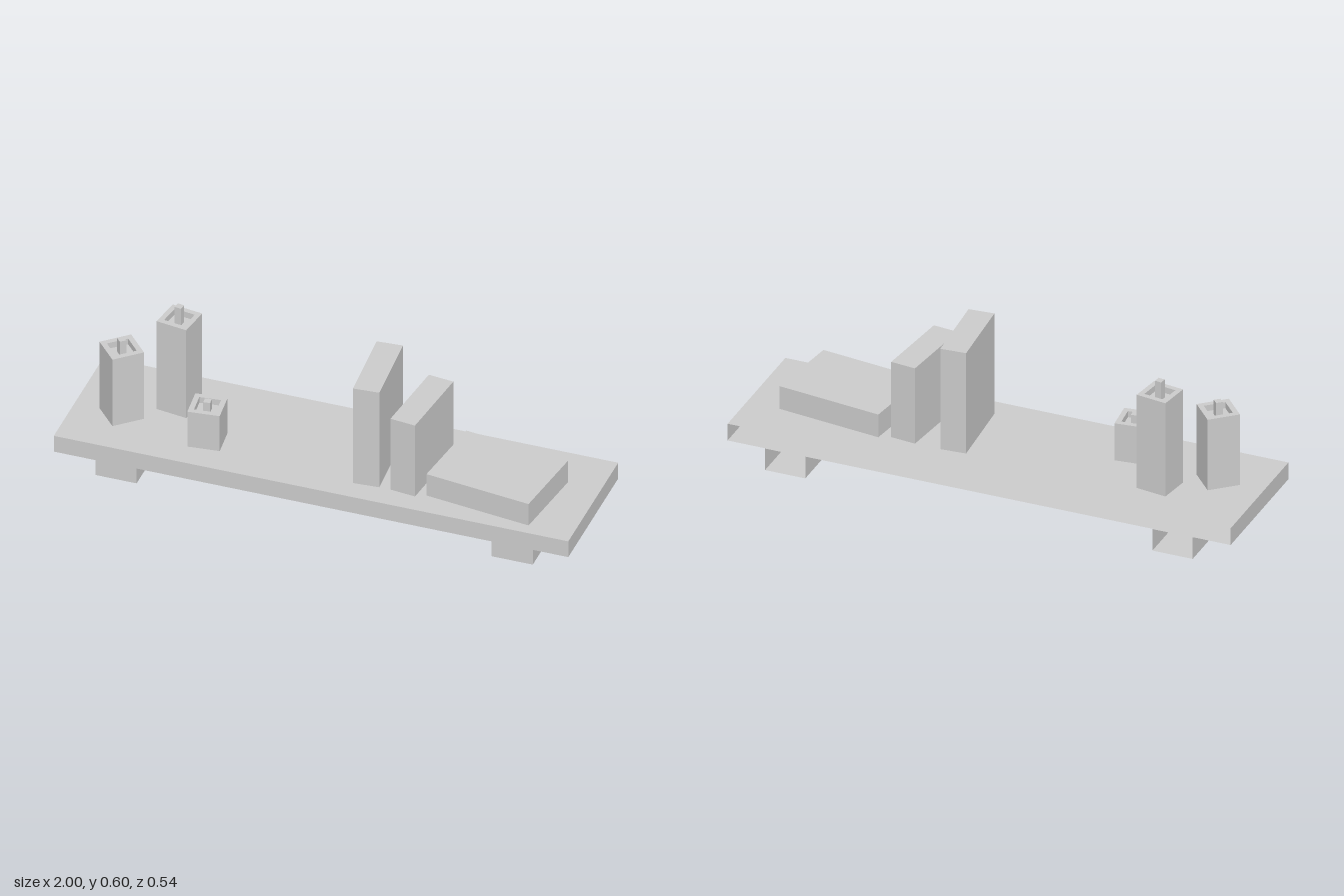
import * as THREE from 'three';

const flat = new THREE.MeshStandardMaterial({ color: 0xcccccc, flatShading: true });
const open = new THREE.MeshStandardMaterial({ color: 0xcccccc, flatShading: true, side: THREE.DoubleSide });
const SHELF_TOP = 0.16;

// Box given by its limits, without the face that sits against the wall
function wallBox(name, x0, x1, y0, y1, z0, z1) {
  const geo = new THREE.BoxGeometry(x1 - x0, y1 - y0, z1 - z0);
  geo.setIndex(Array.from(geo.index.array).slice(0, 30));
  geo.clearGroups();
  const mesh = new THREE.Mesh(geo, open);
  mesh.name = name;
  mesh.position.set((x0 + x1) / 2, (y0 + y1) / 2, (z0 + z1) / 2);
  return mesh;
}

// Box standing at height y, turned about the vertical
function block(name, x, z, y, w, h, d, degrees = 0) {
  const mesh = new THREE.Mesh(new THREE.BoxGeometry(w, h, d), flat);
  mesh.name = name;
  mesh.position.set(x, y + h / 2, z);
  mesh.rotation.y = THREE.MathUtils.degToRad(degrees);
  return mesh;
}

// Square candle with a sunken top and a wick
function candle(name, x, z, side, h, wickTop, degrees) {
  const group = new THREE.Group();
  group.name = name;
  const r = side / Math.SQRT2, inner = r * 0.67, floor = h - 0.025;
  const profile = [[0, 0], [r, 0], [r, h], [inner, h], [inner, floor], [0, floor]]
    .map(([a, b]) => new THREE.Vector2(a, b));
  const wax = new THREE.Mesh(new THREE.LatheGeometry(profile, 4, Math.PI / 4), flat);
  wax.name = 'wax';
  group.add(wax, block('wick', 0, 0, floor, 0.026, wickTop - floor, 0.026));
  group.position.set(x, SHELF_TOP, z);
  group.rotation.y = THREE.MathUtils.degToRad(degrees);
  return group;
}

export function createModel() {
  const model = new THREE.Group();
  model.name = 'wallShelf';

  // Board and its two brackets, open at the back
  model.add(
    wallBox('board', -1, 1, 0.09, SHELF_TOP, -0.268, 0.27),
    wallBox('rightBracket', -0.85, -0.69, 0, 0.09, -0.27, 0.237),
    wallBox('leftBracket', 0.69, 0.85, 0, 0.09, -0.27, 0.237),
  );

  // Candles
  model.add(
    candle('mediumCandle', -0.815, 0.05, 0.125, 0.295, 0.33, 42),
    candle('tallCandle', -0.635, -0.072, 0.123, 0.39, 0.44, -8.5),
    candle('shortCandle', -0.463, 0.102, 0.122, 0.155, 0.173, 6),
  );

  // Two standing books and one lying flat
  model.add(
    block('tallBook', 0.171, 0.023, SHELF_TOP, 0.1, 0.42, 0.316, 4),
    block('shortBook', 0.343, 0.026, SHELF_TOP, 0.1, 0.315, 0.316, -6.5),
    block('lyingBook', 0.641, 0.039, SHELF_TOP, 0.42, 0.095, 0.316, -7.5),
  );
  return model;
}
